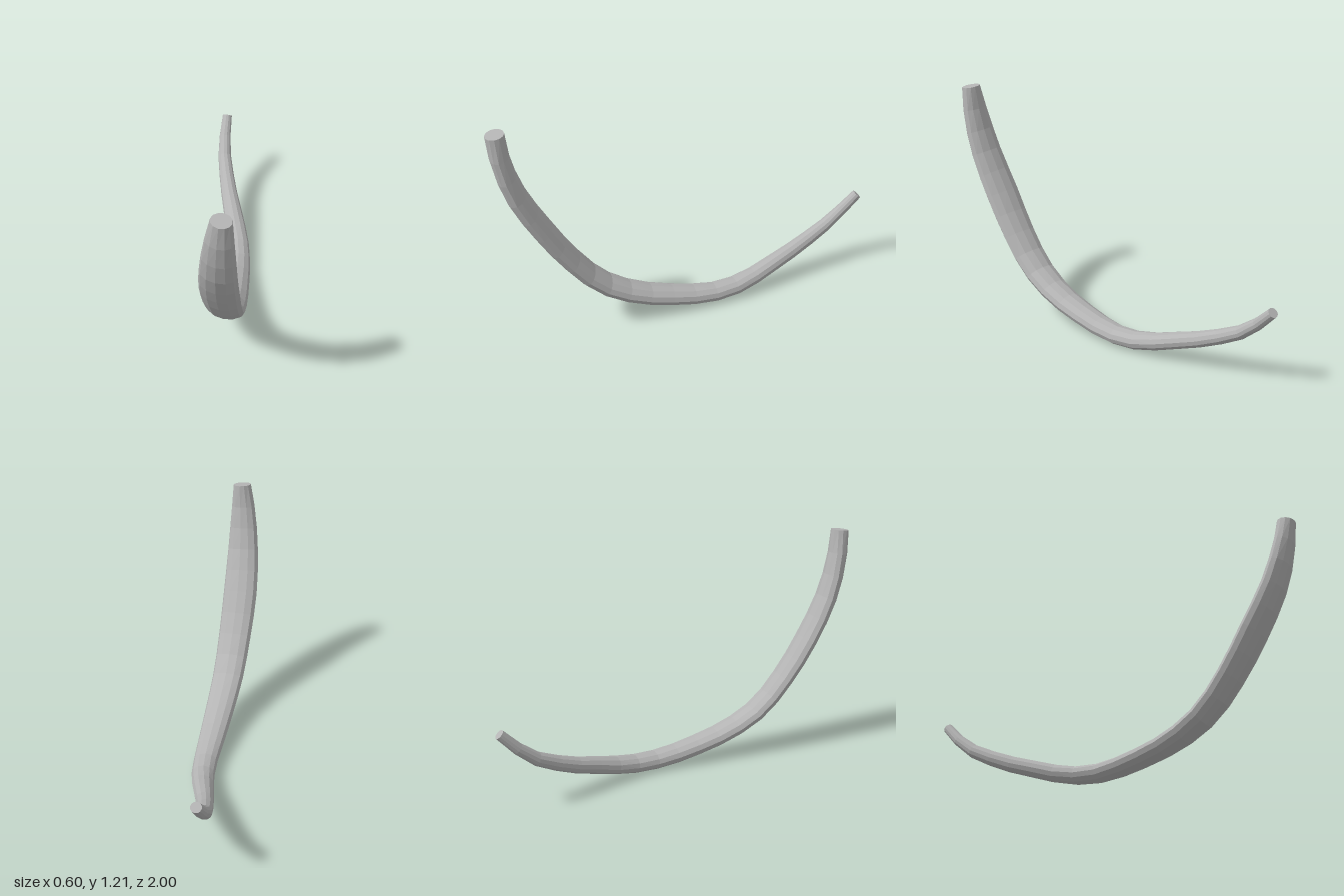
import * as THREE from 'three';

const SIDES = 12, RINGS = 22;

// Sections along the horn: centre x, y, z, then half width and half thickness
const sections = [
  [0.246, 1.205, 0.952, 0.050, 0.048],
  [0.229, 1.03, 0.932, 0.075, 0.050],
  [0.207, 0.83, 0.872, 0.091, 0.052],
  [0.180, 0.62, 0.762, 0.100, 0.052],
  [0.160, 0.42, 0.632, 0.096, 0.050],
  [0.137, 0.245, 0.475, 0.090, 0.050],
  [0.107, 0.136, 0.27, 0.082, 0.050],
  [0.058, 0.068, 0.0, 0.071, 0.049],
  [0.026, 0.053, -0.15, 0.064, 0.048],
  [-0.022, 0.068, -0.3, 0.060, 0.047],
  [-0.089, 0.115, -0.45, 0.053, 0.045],
  [-0.167, 0.175, -0.62, 0.045, 0.042],
  [-0.240, 0.265, -0.8, 0.038, 0.036],
  [-0.264, 0.345, -0.895, 0.033, 0.031],
  [-0.274, 0.432, -0.978, 0.028, 0.027],
];

function hornGeometry() {
  const path = new THREE.CatmullRomCurve3(sections.map(s => new THREE.Vector3(s[0], s[1], s[2])), false, 'catmullrom');
  const size = new THREE.CatmullRomCurve3(sections.map(s => new THREE.Vector3(s[3], s[4], 0)), false, 'catmullrom');
  const positions = [], index = [];
  const put = p => positions.push(p.x, p.y, p.z);

  // Elliptical rings, kept level across the width
  for (let i = 0; i <= RINGS; i++) {
    const t = path.getUtoTmapping(i / RINGS);
    const centre = path.getPoint(t), tangent = path.getTangent(t), half = size.getPoint(t);
    const side = new THREE.Vector3(1, 0, 0).addScaledVector(tangent, -tangent.x).normalize();
    const normal = new THREE.Vector3().crossVectors(tangent, side);
    for (let j = 0; j < SIDES; j++) {
      const a = (j / SIDES) * Math.PI * 2;
      put(centre.clone().addScaledVector(side, Math.cos(a) * half.x).addScaledVector(normal, Math.sin(a) * half.y));
    }
  }

  // Walls
  for (let i = 0; i < RINGS; i++) {
    for (let j = 0; j < SIDES; j++) {
      const k = (j + 1) % SIDES;
      const a = i * SIDES + j, b = i * SIDES + k, c = a + SIDES, d = b + SIDES;
      index.push(a, b, d, a, d, c);
    }
  }

  // Flat ends
  const last = RINGS * SIDES;
  for (let j = 1; j < SIDES - 1; j++) {
    index.push(0, j + 1, j, last, last + j, last + j + 1);
  }

  const geometry = new THREE.BufferGeometry();
  geometry.setAttribute('position', new THREE.Float32BufferAttribute(positions, 3));
  geometry.setIndex(index);
  const faceted = geometry.toNonIndexed();
  faceted.computeVertexNormals();
  return faceted;
}

export function createModel() {
  const grey = new THREE.MeshStandardMaterial({ color: 0xb4b4b4 });
  grey.name = 'grey';
  grey.flatShading = true;

  const group = new THREE.Group();
  group.name = 'curvedHorn';
  const horn = new THREE.Mesh(hornGeometry(), grey);
  horn.name = 'horn';
  group.add(horn);
  return group;
}
